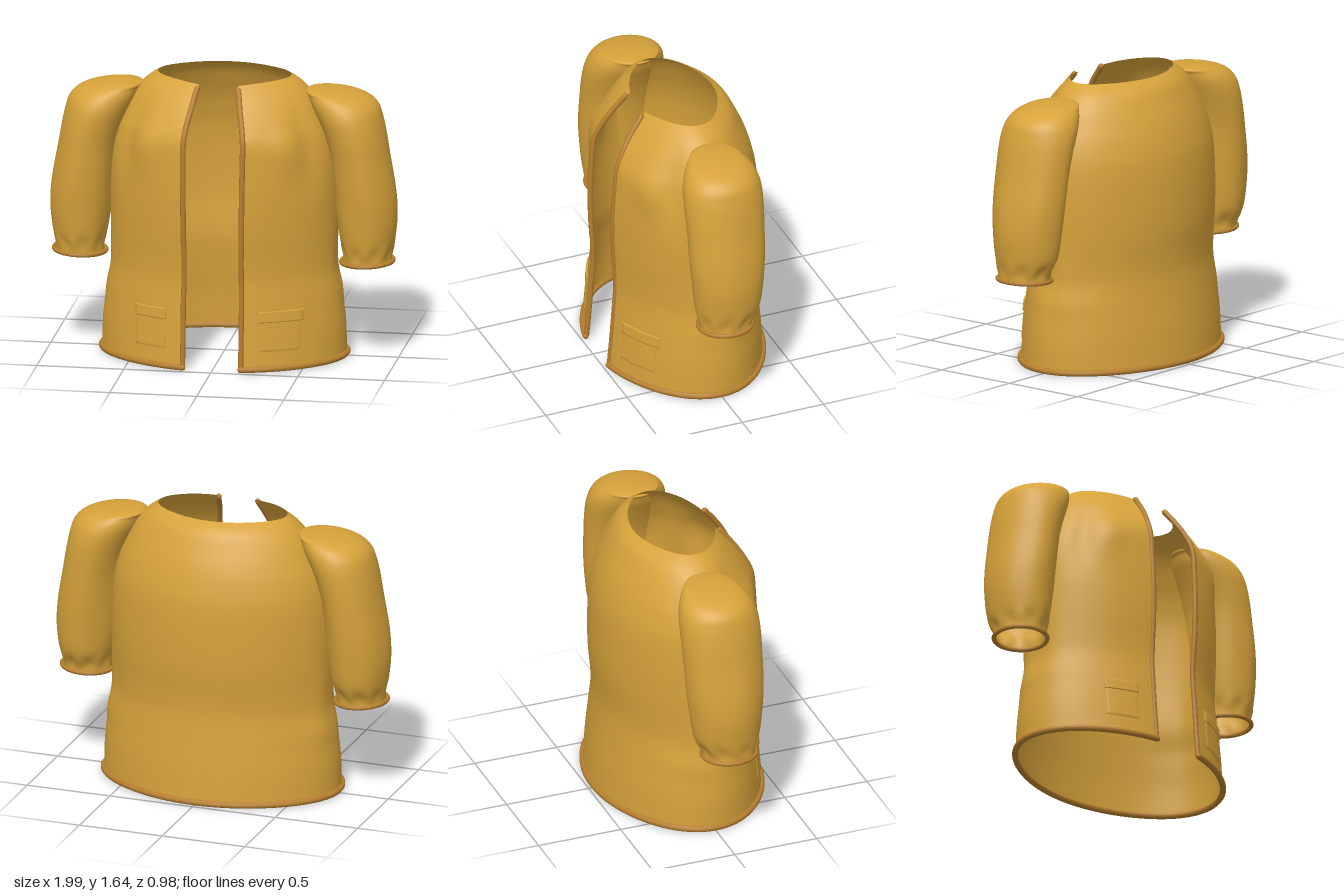
import * as THREE from 'three';
import { mergeVertices } from 'three/addons/utils/BufferGeometryUtils.js';

const fabric = new THREE.MeshStandardMaterial({ name: 'mustardFabric', color: 0xd6a23a, side: THREE.DoubleSide });
const piping = new THREE.MeshStandardMaterial({ name: 'brownPiping', color: 0xb57e2e, side: THREE.DoubleSide });

// Smooth lookup of column c in rows keyed by their first value
function sample(rows, y, c) {
  const n = rows.length;
  let i = 0;
  while (i < n - 2 && y > rows[i + 1][0]) i++;
  const slope = (k) => {
    const p = rows[Math.max(k - 1, 0)], q = rows[Math.min(k + 1, n - 1)];
    return (q[c] - p[c]) / (q[0] - p[0]);
  };
  const h = rows[i + 1][0] - rows[i][0];
  const s = THREE.MathUtils.clamp((y - rows[i][0]) / h, 0, 1), s2 = s * s, s3 = s2 * s;
  return rows[i][c] * (2 * s3 - 3 * s2 + 1) + rows[i + 1][c] * (3 * s2 - 2 * s3)
    + h * (slope(i) * (s3 - 2 * s2 + s) + slope(i + 1) * (s3 - s2));
}

// Smooth surface from a grid of points, fn(u, v) with u and v in 0..1
function surface(nu, nv, fn) {
  const pos = [], index = [];
  for (let j = 0; j <= nv; j++) {
    for (let i = 0; i <= nu; i++) {
      pos.push(...fn(i / nu, j / nv).toArray());
      if (i < nu && j < nv) {
        const a = j * (nu + 1) + i, b = a + nu + 1;
        index.push(a, a + 1, b, a + 1, b + 1, b);
      }
    }
  }
  let g = new THREE.BufferGeometry();
  g.setAttribute('position', new THREE.Float32BufferAttribute(pos, 3));
  g.setIndex(index);
  g = mergeVertices(g, 1e-5);
  g.computeVertexNormals();
  return g;
}

function mesh(name, geometry, material) {
  const m = new THREE.Mesh(geometry, material);
  m.name = name;
  return m;
}

function tube(name, points, radius, closed = false) {
  const curve = new THREE.CatmullRomCurve3(points, closed);
  const group = new THREE.Group();
  group.name = name;
  group.add(mesh(name + 'Cord', new THREE.TubeGeometry(curve, points.length * 3, radius, 10, closed), piping));
  // Rounded ends
  if (!closed) for (const p of [points[0], points[points.length - 1]]) {
    const end = mesh(name + 'End', new THREE.SphereGeometry(radius, 10, 6), piping);
    end.position.copy(p);
    group.add(end);
  }
  return group;
}

// Body: height, half width, front depth, back depth, half width of the front opening
const body = [
  [0.01, 0.700, 0.490, 0.472, 0.168], [0.20, 0.695, 0.473, 0.460, 0.168],
  [0.38, 0.672, 0.460, 0.442, 0.168], [0.52, 0.652, 0.450, 0.430, 0.166],
  [0.62, 0.650, 0.452, 0.432, 0.165], [0.80, 0.652, 0.464, 0.449, 0.168],
  [1.00, 0.652, 0.467, 0.451, 0.170], [1.20, 0.638, 0.458, 0.440, 0.172],
  [1.33, 0.605, 0.446, 0.412, 0.172], [1.42, 0.565, 0.405, 0.382, 0.160],
  [1.50, 0.525, 0.352, 0.345, 0.142], [1.57, 0.475, 0.297, 0.310, 0.128],
  [1.61, 0.430, 0.264, 0.278, 0.118], [1.64, 0.383, 0.238, 0.228, 0.112],
];
const bump = (v, centre, width) => Math.exp(-(((v - centre) / width) ** 2));

// Point on the body; angle t is 0 at the front centre and turns toward +x
function bodyPoint(t, y, offset = 0) {
  const a = sample(body, y, 1), s = Math.sin(t), c = Math.cos(t);
  const d = sample(body, y, c > 0 ? 2 : 3);
  const at = Math.acos(c);
  // Chest drape with a hollow beside the armhole, hip bulge, side ripples, flatter diagonals
  const drape = 0.018 * bump(at, 0.72, 0.16) * bump(y, 1.27, 0.13) - 0.020 * bump(at, 1.02, 0.14) * bump(y, 1.28, 0.2);
  const hip = 0.008 * bump(y, 0.40, 0.08) * bump(at, 1.75, 0.5);
  const ripple = 0.005 * Math.sin(at * 11) * bump(y, 0.55, 0.2) * bump(at, 1.7, 0.5);
  const k = offset + drape + hip + ripple - 0.012 * Math.sin(2 * t) ** 2;
  const n = new THREE.Vector2(s / a, c / d).normalize();
  return new THREE.Vector3(a * s + n.x * k, y, d * c + n.y * k);
}
const edgeAngle = (y) => Math.asin(sample(body, y, 4) / sample(body, y, 1));

// Sleeve: height, inner x, outer x, back z, front z
const sleeve = [
  [0.57, 0.690, 0.965, -0.125, 0.185], [0.62, 0.690, 0.965, -0.130, 0.190],
  [0.70, 0.670, 0.982, -0.172, 0.210], [0.85, 0.648, 0.996, -0.195, 0.226],
  [1.00, 0.636, 0.985, -0.210, 0.238], [1.20, 0.612, 0.950, -0.220, 0.242],
  [1.32, 0.578, 0.930, -0.224, 0.244], [1.42, 0.535, 0.908, -0.222, 0.238],
  [1.49, 0.500, 0.880, -0.205, 0.215], [1.54, 0.482, 0.810, -0.170, 0.175],
  [1.567, 0.475, 0.690, -0.115, 0.115], [1.577, 0.565, 0.565, 0, 0],
];
function sleevePoint(t, y, side) {
  const [x0, x1, z0, z1] = [1, 2, 3, 4].map((c) => sample(sleeve, y, c));
  // Cuff gathers and faint lengthwise folds
  const gather = 1 + 0.05 * Math.cos(t * 8 + 0.5) * bump(y, 0.64, 0.035) + 0.012 * Math.sin(t * 6) * bump(y, 1.0, 0.3);
  const x = (x0 + x1) / 2 + (x1 - x0) / 2 * gather * Math.cos(t);
  const z = (z0 + z1) / 2 + (z1 - z0) / 2 * gather * Math.sin(t);
  return new THREE.Vector3(side * x, y, z);
}

// Raised patch following the front of the body, its rim meeting the cloth
function patch(name, x0, x1, y0, y1, height) {
  const n = 14, inner = (u) => THREE.MathUtils.clamp((u * n - 1) / (n - 2), 0, 1);
  const rim = (u) => u < 0.01 || u > 0.99;
  return mesh(name, surface(n, n, (u, v) => {
    const x = THREE.MathUtils.lerp(x0, x1, inner(u)), y = THREE.MathUtils.lerp(y0, y1, inner(v));
    return bodyPoint(Math.asin(x / sample(body, y, 1)), y, rim(u) || rim(v) ? 0.0005 : height);
  }), fabric);
}

export function createModel() {
  const jacket = new THREE.Group();
  jacket.name = 'jacket';

  // Open-fronted body with the neck opening at the top
  jacket.add(mesh('body', surface(120, 80, (u, v) => {
    const y = 0.01 + 1.63 * v, e = edgeAngle(y);
    const p = bodyPoint(e + u * (2 * Math.PI - 2 * e), y);
    // Collar dips slightly at the front corners
    p.y -= 0.018 * v ** 12 * Math.abs(2 * u - 1) ** 6;
    return p;
  }), fabric));

  // Hem piping
  const hem = [], e0 = edgeAngle(0.02);
  for (let i = 0; i <= 60; i++) hem.push(bodyPoint(e0 + i / 60 * (2 * Math.PI - 2 * e0), 0.02, 0.002));
  jacket.add(tube('hemPiping', hem, 0.018));

  for (const side of [1, -1]) {
    const label = side > 0 ? 'left' : 'right';

    // Front edge piping in a lower and an upper length
    for (const [part, y0, y1, r] of [['Lower', 0.03, 0.685, 0.015], ['Upper', 0.68, 1.605, 0.016]]) {
      const edge = [];
      for (let i = 0; i <= 24; i++) {
        const y = y0 + (y1 - y0) * i / 24;
        edge.push(bodyPoint(side * edgeAngle(y), y, -0.003));
      }
      jacket.add(tube(label + 'Front' + part + 'Piping', edge, r));
    }

    // Sleeve rows crowd toward the rounded shoulder
    jacket.add(mesh(label + 'Sleeve', surface(56, 60, (u, v) => {
      const y = 0.57 + 1.007 * Math.sin(v * Math.PI / 2);
      return sleevePoint((u % 1) * Math.PI * 2, y, side);
    }), fabric));

    // Cuff piping
    const cuff = [];
    for (let i = 0; i < 28; i++) {
      const t = i / 28 * Math.PI * 2;
      cuff.push(new THREE.Vector3(side * (0.826 + 0.148 * Math.cos(t)), 0.575 + 0.006 * Math.cos(t), 0.033 + 0.155 * Math.sin(t)));
    }
    jacket.add(tube(label + 'CuffPiping', cuff, 0.013, true));
  }

  // Flap pockets
  jacket.add(patch('leftPocket', 0.272, 0.495, 0.12, 0.32, 0.006));
  jacket.add(patch('leftPocketFlap', 0.264, 0.507, 0.288, 0.35, 0.011));
  jacket.add(patch('rightPocket', -0.454, -0.279, 0.12, 0.32, 0.006));
  jacket.add(patch('rightPocketFlap', -0.458, -0.272, 0.288, 0.35, 0.011));
  return jacket;
}
